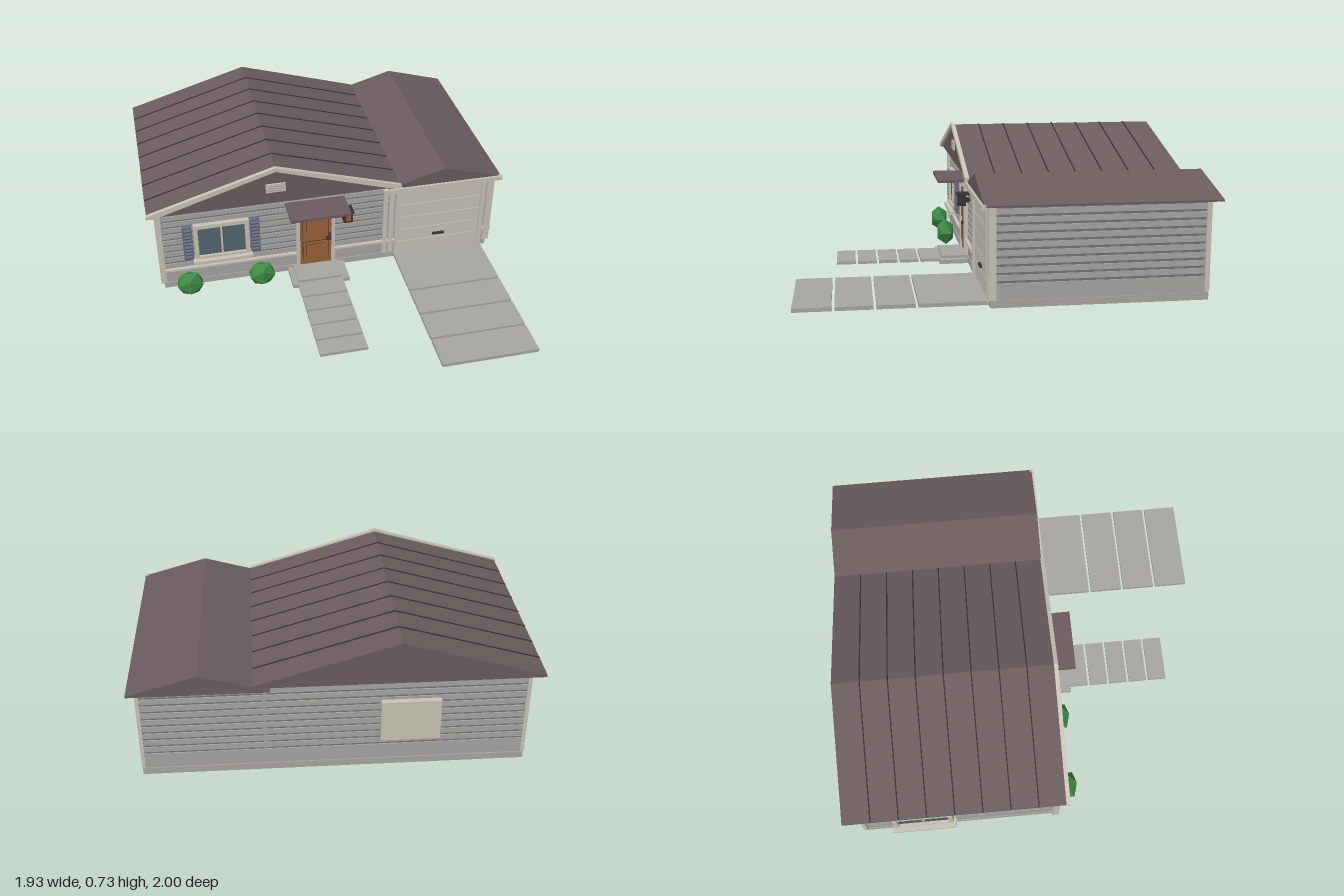
import * as THREE from 'three';

const mat = (name, color) => {
  const m = new THREE.MeshStandardMaterial({ color });
  m.name = name;
  return m;
};

export function createModel() {
  const M = {
    roof: mat('roofBrown', 0x6b5c5e),
    concrete: mat('concreteGrey', 0xa8a7a3),
    siding: mat('sidingGrey', 0xa6a6a5),
    groove: mat('grooveGrey', 0x74747a),
    trim: mat('trimCream', 0xc9c4b6),
    door: mat('doorOrange', 0x9c6236),
    glass: mat('glassBlue', 0x53666e),
    shutter: mat('shutterBlue', 0x686e80),
    bush: mat('bushGreen', 0x3f8a43),
    dark: mat('darkMetal', 0x3a3336),
  };
  const model = new THREE.Group();
  model.name = 'house';

  // Box given by its extents
  const box = (name, m, x0, x1, y0, y1, z0, z1, parent = model) => {
    const mesh = new THREE.Mesh(new THREE.BoxGeometry(x1 - x0, y1 - y0, z1 - z0), m);
    mesh.position.set((x0 + x1) / 2, (y0 + y1) / 2, (z0 + z1) / 2);
    mesh.name = name;
    parent.add(mesh);
    return mesh;
  };
  // Outline in x, y extruded along z
  const extrude = (name, m, pts, z0, z1) => {
    const shape = new THREE.Shape(pts.map(([x, y]) => new THREE.Vector2(x, y)));
    const geo = new THREE.ExtrudeGeometry(shape, { depth: z1 - z0, bevelEnabled: false });
    const mesh = new THREE.Mesh(geo, m);
    mesh.position.z = z0;
    mesh.name = name;
    model.add(mesh);
    return mesh;
  };
  const group = (name) => {
    const g = new THREE.Group();
    g.name = name;
    model.add(g);
    return g;
  };

  // Foundation and walls with lap siding
  box('foundation', M.concrete, -0.905, 0.925, 0, 0.035, -0.95, 0.095);
  const walls = (name, x0, x1, top) => {
    const g = group(name);
    box('wallCore', M.groove, x0 + 0.006, x1 - 0.006, 0.035, top, -0.939, 0.084, g);
    box('wallSkirt', M.siding, x0, x1, 0.035, 0.115, -0.945, 0.09, g);
    for (let y = 0.127; y < top - 0.005; y += 0.039) {
      box('sidingBoard', M.siding, x0, x1, y, Math.min(y + 0.027, top), -0.945, 0.09, g);
    }
  };
  walls('mainWalls', -0.9, 0.34, 0.51);
  walls('garageWalls', 0.335, 0.92, 0.488);

  // Corner boards and base moulding
  for (const [x0, x1] of [[-0.923, -0.892], [0.312, 0.334], [0.345, 0.37], [0.905, 0.94]]) {
    box('frontCornerBoard', M.trim, x0, x1, 0.04, 0.49, 0.07, 0.105);
  }
  box('rearJoint', M.siding, 0.334, 0.346, 0.04, 0.488, -0.952, -0.94);
  for (const [x0, x1] of [[-0.908, -0.89], [0.91, 0.928]]) {
    box('rearCornerBoard', M.trim, x0, x1, 0.04, 0.49, -0.952, -0.93);
  }
  for (const [x0, x1] of [[-0.9, -0.175], [0.035, 0.385], [0.885, 0.945]]) {
    box('baseMoulding', M.trim, x0, x1, 0.114, 0.126, 0.09, 0.108);
  }

  // Main roof with seams and front rake boards
  const ridge = -0.285, half = 0.674, eave = 0.515, peak = 0.715;
  extrude('mainRoof', M.roof, [[ridge - half, 0.503], [ridge + half, 0.503],
    [ridge + half, eave], [ridge, peak], [ridge - half, eave]], -0.997, 0.13);
  for (let i = 0; i < 7; i++) {
    const z = -0.012 - i * 0.1405;
    extrude('roofSeam', M.dark, [[ridge - half, eave - 0.002], [ridge, peak - 0.002],
      [ridge + half, eave - 0.002], [ridge + half, eave + 0.004], [ridge, peak + 0.004],
      [ridge - half, eave + 0.004]], z - 0.003, z + 0.003);
  }
  extrude('rakeBoards', M.trim, [[ridge - half - 0.005, 0.503], [ridge - half + 0.04, 0.503],
    [ridge, peak - 0.012], [ridge + half - 0.04, 0.503], [ridge + half + 0.005, 0.503],
    [ridge + half + 0.005, 0.52], [ridge, 0.726], [ridge - half - 0.005, 0.52]], 0.125, 0.146);

  // Gable vent with louvres
  box('gableVent', M.trim, -0.337, -0.233, 0.572, 0.623, 0.13, 0.138);
  for (const y of [0.583, 0.597, 0.611]) {
    box('ventLouvre', M.siding, -0.325, -0.245, y - 0.003, y + 0.003, 0.137, 0.141);
  }

  // Garage roof and fascia
  extrude('garageRoof', M.roof, [[0.31, 0.48], [0.962, 0.48], [0.962, 0.488],
    [0.635, 0.582], [0.31, 0.488]], -0.997, 0.13);
  box('garageFascia', M.trim, 0.3, 0.966, 0.468, 0.492, 0.12, 0.142);

  // Garage door: frame, panels and handle
  for (const [x0, x1] of [[0.38, 0.402], [0.868, 0.892]]) {
    box('garageDoorJamb', M.trim, x0, x1, 0.02, 0.46, 0.085, 0.108);
  }
  box('garageDoorHeader', M.trim, 0.38, 0.892, 0.437, 0.465, 0.085, 0.108);
  box('garageDoorBack', M.groove, 0.4, 0.87, 0.02, 0.44, 0.085, 0.093);
  for (let i = 0; i < 5; i++) {
    const y = 0.022 + i * 0.083;
    box('garageDoorPanel', M.trim, 0.404, 0.866, y, y + 0.08, 0.09, 0.099);
  }
  box('garageDoorHandle', M.dark, 0.6, 0.668, 0.126, 0.138, 0.098, 0.11);

  // Two-pane window facing +z in its own frame
  const makeWindow = (name, w, h, d = 0.024) => {
    const g = group(name);
    const a = w / 2, b = h / 2, f = 0.022;
    box('windowGlass', M.glass, -a + f, a - f, -b + f, b - f, -0.01, 0.01, g);
    for (const s of [-1, 1]) {
      const x = s * (a - f / 2), y = s * (b - f / 2);
      box('windowStile', M.trim, x - f / 2, x + f / 2, -b, b, -0.01, d, g);
      box('windowRail', M.trim, -a, a, y - f / 2, y + f / 2, -0.01, d, g);
    }
    box('windowMullion', M.trim, -0.005, 0.005, -b + f, b - f, -0.01, d - 0.006, g);
    box('windowSill', M.trim, -a - 0.012, a + 0.012, -b - 0.012, -b + 0.008, -0.01, d + 0.026, g);
    return g;
  };
  makeWindow('frontWindow', 0.295, 0.225).position.set(-0.58, 0.288, 0.092);
  const side = makeWindow('sideWindow', 0.31, 0.195);
  side.position.set(-0.915, 0.28, -0.612);
  side.rotation.y = -Math.PI / 2;

  // Covered rear window
  box('rearWindowGlass', M.glass, -0.46, -0.22, 0.2, 0.37, -0.975, -0.94);
  box('rearWindowCover', M.trim, -0.48, -0.2, 0.18, 0.395, -1, -0.972);

  // Louvred shutters
  for (const x of [-0.76, -0.4]) {
    const g = group('shutter');
    box('shutterBoard', M.shutter, x - 0.026, x + 0.026, 0.178, 0.392, 0.085, 0.108, g);
    for (let i = 0; i < 9; i++) {
      const y = 0.198 + i * 0.0217;
      box('shutterSlat', M.shutter, x - 0.02, x + 0.02, y - 0.006, y + 0.006, 0.105, 0.117, g)
        .rotation.x = 0.35;
    }
  }

  // Front door with frame, raised panels and handle
  for (const [x0, x1] of [[-0.176, -0.157], [0.019, 0.037]]) {
    box('doorJamb', M.trim, x0, x1, 0.035, 0.43, 0.085, 0.112);
  }
  box('doorHeader', M.trim, -0.18, 0.041, 0.412, 0.443, 0.085, 0.118);
  box('frontDoor', M.door, -0.157, 0.019, 0.035, 0.412, 0.085, 0.1);
  for (const [y0, y1] of [[0.075, 0.19], [0.215, 0.385]]) {
    box('doorPanelGroove', M.dark, -0.142, 0.003, y0, y1, 0.1, 0.102);
    box('doorPanelBorder', M.door, -0.139, 0, y0 + 0.003, y1 - 0.003, 0.1, 0.106);
    box('doorPanelInset', M.dark, -0.122, -0.017, y0 + 0.018, y1 - 0.018, 0.1, 0.107);
    box('doorPanel', M.door, -0.12, -0.019, y0 + 0.02, y1 - 0.02, 0.1, 0.11);
  }
  box('doorHandle', M.dark, -0.012, 0.012, 0.2, 0.212, 0.1, 0.122);
  box('doorHandlePlate', M.dark, 0.005, 0.013, 0.195, 0.235, 0.1, 0.109);

  // Awning over the door
  box('awning', M.roof, -0.231, 0.092, 0.445, 0.46, 0.085, 0.255);

  // Wall lamp
  box('lampBody', M.dark, 0.076, 0.126, 0.325, 0.385, 0.11, 0.155);
  box('lampCap', M.dark, 0.07, 0.132, 0.382, 0.392, 0.09, 0.16);
  box('lampLight', M.door, 0.088, 0.114, 0.337, 0.373, 0.15, 0.158);
  box('lampBracket', M.dark, 0.09, 0.112, 0.34, 0.365, 0.085, 0.115);

  // Door step, path slabs and driveway slabs
  box('lowerStep', M.concrete, -0.225, 0.09, 0, 0.022, 0.09, 0.25);
  box('upperStep', M.concrete, -0.195, 0.052, 0.022, 0.036, 0.09, 0.235);
  for (let i = 0; i < 5; i++) {
    const z = 0.25 + i * 0.1125;
    box('pathSlab', M.concrete, -0.195, 0.052, 0.006, 0.022, z, z + 0.1);
  }
  for (const [z0, z1] of [[0.09, 0.422], [0.435, 0.615], [0.628, 0.806], [0.82, 1]]) {
    box('drivewaySlab', M.concrete, 0.38, 0.887, 0.006, 0.025, z0, z1);
  }

  // Low-poly bushes
  for (const x of [-0.772, -0.382]) {
    const bush = new THREE.Mesh(new THREE.IcosahedronGeometry(0.077, 0), M.bush);
    bush.scale.set(1.03, 1, 0.7);
    bush.position.set(x, 0.073, 0.172);
    bush.name = 'bush';
    model.add(bush);
  }
  return model;
}
